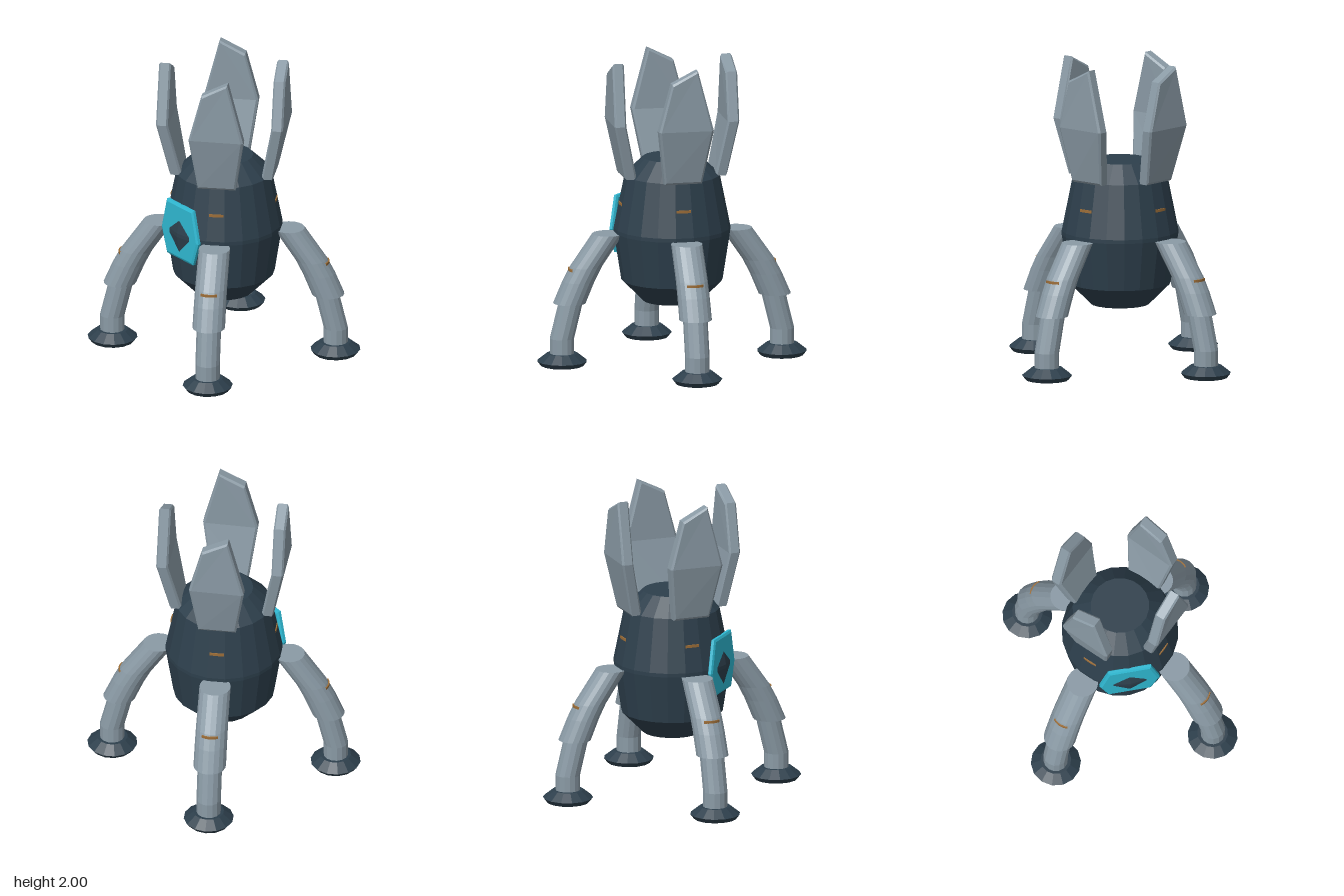
import * as THREE from 'three';

const mat = (name, color) => {
  const m = new THREE.MeshStandardMaterial({ color });
  m.name = name;
  return m;
};

// Faceted normals for the low-poly look
const flat = (geo) => {
  const g = geo.index ? geo.toNonIndexed() : geo;
  g.computeVertexNormals();
  return g;
};

const part = (name, geo, material) => {
  const m = new THREE.Mesh(flat(geo), material);
  m.name = name;
  return m;
};

const lathe = (pts, sides) =>
  new THREE.LatheGeometry(pts.map(([r, y]) => new THREE.Vector2(r, y)), sides);

// Bent tube with level rings; each ring is [outward offset, height, radius], top first
function bentTube(rings, sides) {
  const n = rings.length - 1;
  const geo = new THREE.CylinderGeometry(1, 1, 1, sides, n);
  const p = geo.attributes.position;
  for (let i = 0; i < p.count; i++) {
    const [off, y, r] = rings[Math.round((0.5 - p.getY(i)) * n)];
    p.setXYZ(i, p.getX(i) * r, y, p.getZ(i) * r + off);
  }
  return geo;
}

// Six-sided blade with chamfered rims; outline corners are [side, height, outward]
function bladeGeometry() {
  const outline = [
    [-0.123, 1.235, 0.302], [0.123, 1.235, 0.302], [0.185, 1.6, 0.382],
    [0.08, 2.0, 0.376], [-0.09, 1.915, 0.376], [-0.175, 1.6, 0.372],
  ];
  const loops = [[-0.039, 0.92], [-0.028, 1], [0.028, 1], [0.039, 0.92]];
  const n = outline.length, pos = [], idx = [];
  for (const [depth, s] of loops)
    for (const [x, y, z] of outline)
      pos.push(x * s, 1.6 + (y - 1.6) * (s + 1.1) / 2.1, z + depth);
  for (let k = 0; k < loops.length - 1; k++)
    for (let i = 0; i < n; i++) {
      const a = k * n + i, b = k * n + (i + 1) % n;
      idx.push(a, b, b + n, a, b + n, a + n);
    }
  // Lower quad and upper quad of each face
  const f = (loops.length - 1) * n;
  for (const [a, b, c] of [[0, 1, 2], [0, 2, 5], [5, 2, 3], [5, 3, 4]])
    idx.push(f + a, f + b, f + c, a, c, b);
  const geo = new THREE.BufferGeometry();
  geo.setAttribute('position', new THREE.Float32BufferAttribute(pos, 3));
  geo.setIndex(idx);
  return geo;
}

// Thin raised band covering an arc centred on the outward direction
function band(radius, height, halfAngle, y, offset) {
  return new THREE.CylinderGeometry(radius, radius, height, 8, 1, false, -halfAngle, halfAngle * 2)
    .translate(0, y, offset);
}

export function createModel() {
  const model = new THREE.Group();
  model.name = 'walkerPod';
  const hull = mat('dark slate', 0x2d3f4c);
  const metal = mat('light steel', 0x8a9aa5);
  const cyan = mat('cyan', 0x2fb9d3);
  const copper = mat('copper', 0x9d6e38);

  // Egg-shaped body
  model.add(part('body', lathe([
    [0, 0.4], [0.19, 0.4], [0.33, 0.54], [0.38, 0.86], [0.38, 0.885],
    [0.31, 1.235], [0.19, 1.35], [0, 1.35],
  ], 20), hull));

  // Front plate; the bulge of the body shows through its middle
  const bevel = 0.015;
  const shape = new THREE.Shape([
    [-0.13, 0.715], [0.13, 0.715], [0.183, 0.865],
    [0.13, 1.065], [-0.13, 1.065], [-0.183, 0.865],
  ].map(([x, y]) => new THREE.Vector2(x, y)));
  const plate = new THREE.ExtrudeGeometry(shape, {
    depth: 0.018, bevelEnabled: true, bevelThickness: 0.008,
    bevelSize: bevel, bevelSegments: 1,
  });
  plate.translate(0, 0, 0.363 - 0.026);
  model.add(part('frontPlate', plate, cyan));

  // Four diagonal legs, each with the blade and marks above it
  const D = Math.SQRT2;
  for (let k = 0; k < 4; k++) {
    const corner = new THREE.Group();
    corner.name = 'corner' + (k + 1);
    corner.rotation.y = Math.PI / 4 + k * Math.PI / 2;

    corner.add(part('upperLeg', bentTube([
      [0.302 * D, 0.86, 0.102], [0.405 * D, 0.65, 0.104],
      [0.44 * D, 0.555, 0.105], [0.483 * D, 0.412, 0.106],
    ], 18), metal));
    corner.add(part('lowerLeg', bentTube([
      [0.47 * D, 0.45, 0.08], [0.478 * D, 0.41, 0.08],
      [0.518 * D, 0.18, 0.08], [0.518 * D, 0.06, 0.08],
    ], 14), metal));
    corner.add(part('foot', lathe([
      [0, 0], [0.14, 0], [0.163, 0.03], [0.1, 0.08], [0, 0.08],
    ], 14).translate(0, 0, 0.517 * D), hull));
    corner.add(part('blade', bladeGeometry(), metal));
    corner.add(part('legMark', band(0.109, 0.016, 0.52, 0.632, 0.411 * D), copper));
    corner.add(part('bodyMark', band(0.348, 0.018, 0.14, 1.055, 0), copper));
    model.add(corner);
  }
  return model;
}
